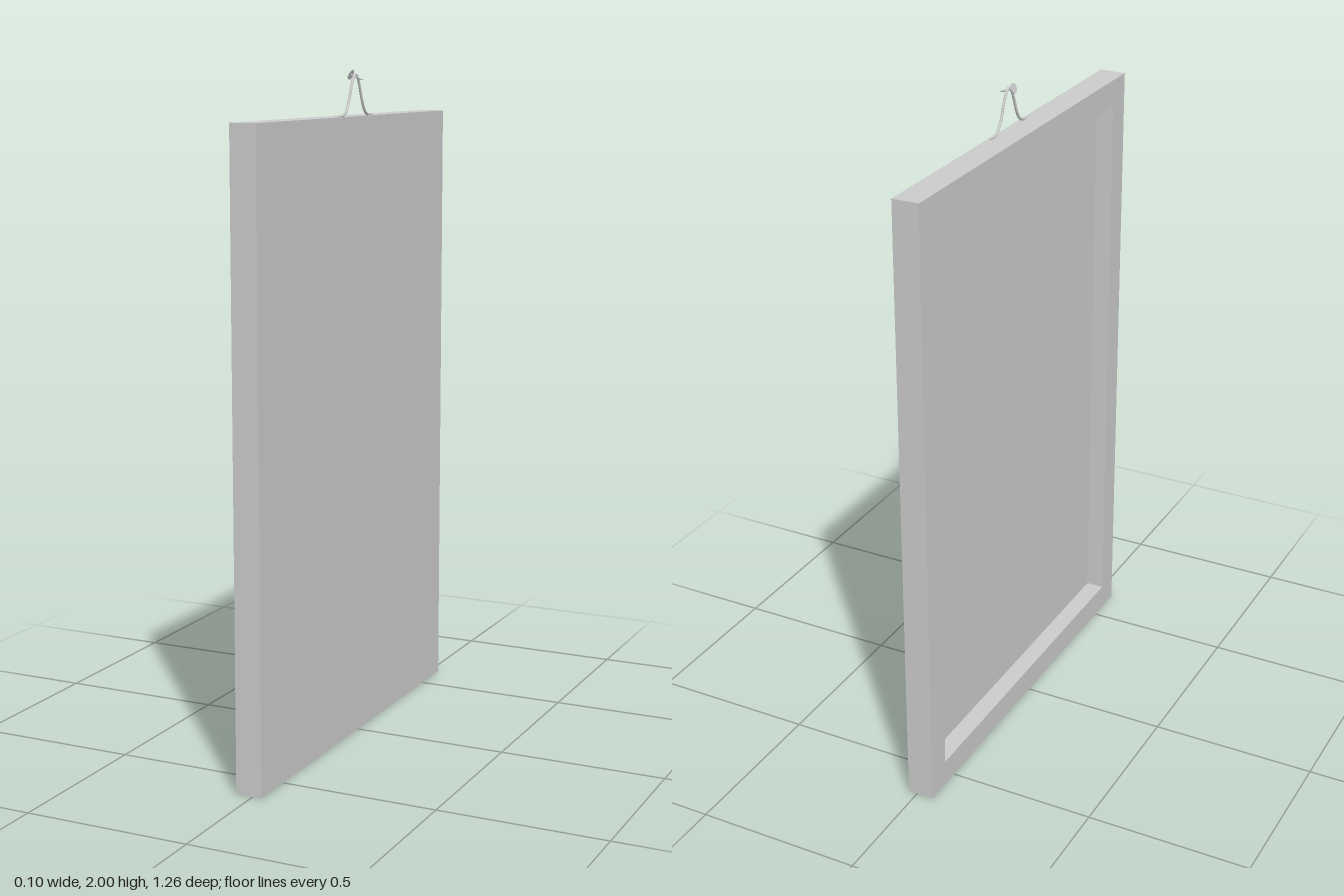
import * as THREE from 'three';

const material = new THREE.MeshStandardMaterial({ color: 0xcccccc });

function addMesh(parent, name, geometry) {
  const mesh = new THREE.Mesh(geometry, material);
  mesh.name = name;
  parent.add(mesh);
  return mesh;
}

export function createModel() {
  const group = new THREE.Group();
  group.name = 'hangingCanvas';

  const W = 1.264, H = 1.866, border = 0.08;
  const back = -0.052, floor = 0.003, front = 0.028;

  // Stretcher frame: rectangle with a window, extruded along +x
  const outline = new THREE.Shape([
    new THREE.Vector2(-W / 2, 0), new THREE.Vector2(W / 2, 0),
    new THREE.Vector2(W / 2, H), new THREE.Vector2(-W / 2, H),
  ]);
  const a = W / 2 - border;
  outline.holes.push(new THREE.Path([
    new THREE.Vector2(-a, border), new THREE.Vector2(-a, H - border),
    new THREE.Vector2(a, H - border), new THREE.Vector2(a, border),
  ]));
  const frame = addMesh(group, 'stretcherFrame',
    new THREE.ExtrudeGeometry(outline, { depth: floor - back, bevelEnabled: false }));
  frame.rotation.y = Math.PI / 2;
  frame.position.x = back;

  // Canvas panel closing the front side
  const panel = addMesh(group, 'canvasPanel', new THREE.BoxGeometry(front - floor, H, W));
  panel.position.set((front + floor) / 2, H / 2, 0);

  // Bell-shaped hanging wire, mirrored about the nail
  const half = [[0.107, 1.868], [0.085, 1.869], [0.065, 1.879], [0.046, 1.907],
    [0.03, 1.946], [0.016, 1.974]];
  const points = [
    ...half.map(([z, y]) => new THREE.Vector3(0.018, y, -z)),
    new THREE.Vector3(0.018, 1.985, 0),
    ...half.slice().reverse().map(([z, y]) => new THREE.Vector3(0.018, y, z)),
  ];
  addMesh(group, 'hangingWire',
    new THREE.TubeGeometry(new THREE.CatmullRomCurve3(points), 64, 0.004, 8, false));
  for (const s of [-1, 1]) {
    const end = addMesh(group, 'wireEnd', new THREE.SphereGeometry(0.004, 8, 6));
    end.position.set(0.018, 1.868, s * 0.107);
  }

  // Nail, tilted down toward the wall, with a flat round head
  const nail = new THREE.Group();
  nail.name = 'nail';
  nail.position.set(0.003, 1.985, 0);
  nail.rotation.z = -Math.PI / 2 - 0.36;
  group.add(nail);
  addMesh(nail, 'nailHead', new THREE.CylinderGeometry(0.015, 0.015, 0.003, 20));
  addMesh(nail, 'nailShaft', new THREE.CylinderGeometry(0.0025, 0.0025, 0.036, 10)).position.y = 0.018;
  addMesh(nail, 'nailTip', new THREE.ConeGeometry(0.0025, 0.01, 10)).position.y = 0.041;

  return group;
}
